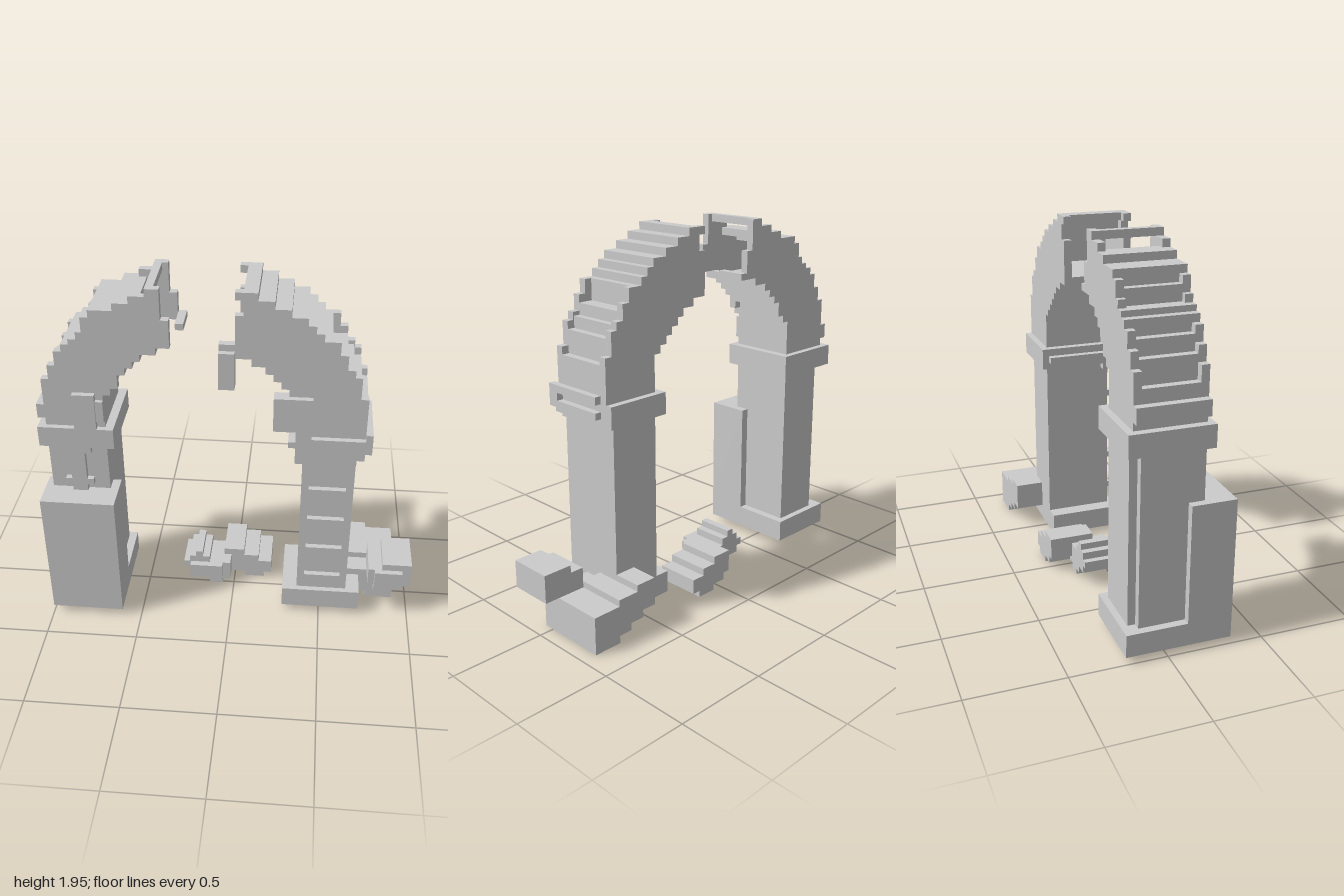
import * as THREE from 'three';

export function createModel() {
  const model = new THREE.Group();
  model.name = 'ruinedArch';
  const stone = new THREE.MeshStandardMaterial({ color: 0xcccccc });
  stone.name = 'stone';

  function group(name) {
    const g = new THREE.Group();
    g.name = name;
    model.add(g);
    return g;
  }
  // Box from its minimum and maximum limits
  function box(parent, name, x0, x1, y0, y1, z0, z1) {
    const m = new THREE.Mesh(new THREE.BoxGeometry(x1 - x0, y1 - y0, z1 - z0), stone);
    m.name = name;
    m.position.set((x0 + x1) / 2, (y0 + y1) / 2, (z0 + z1) / 2);
    parent.add(m);
  }
  // Stepped outline: for each [x, y] go across to x, then up or down to y
  function stair(parent, name, startY, steps, z0, z1) {
    const s = new THREE.Shape();
    let y = startY;
    steps.forEach(([sx, sy], i) => {
      if (i === 0) s.moveTo(sx, y);
      else s.lineTo(sx, y);
      s.lineTo(sx, sy);
      y = sy;
    });
    const geo = new THREE.ExtrudeGeometry(s, { depth: z1 - z0, bevelEnabled: false });
    const m = new THREE.Mesh(geo, stone);
    m.name = name;
    m.position.z = z0;
    parent.add(m);
  }

  // Right-hand pier (-x): pedestal, column and capital
  const pierR = group('rightPier');
  box(pierR, 'base', -1, -0.605, 0.04, 0.16, -0.215, 0.33);
  box(pierR, 'frontSlab', -1, -0.605, 0.16, 0.78, 0.1, 0.33);
  box(pierR, 'column', -0.92, -0.65, 0.16, 1.06, -0.18, 0.18);
  box(pierR, 'columnEdge', -0.96, -0.92, 0.16, 1.06, -0.14, 0.18);
  box(pierR, 'capital', -1, -0.605, 1.055, 1.17, -0.215, 0.21);
  box(pierR, 'crossTop', -0.805, -0.69, 1.17, 1.37, 0.17, 0.21);
  box(pierR, 'crossNeck', -0.88, -0.73, 1.02, 1.055, 0.17, 0.21);
  box(pierR, 'crossStem', -0.845, -0.765, 0.78, 1.02, 0.17, 0.21);
  box(pierR, 'crossFootOuter', -0.88, -0.845, 0.82, 0.855, 0.17, 0.21);
  box(pierR, 'crossFootInner', -0.765, -0.73, 0.82, 0.855, 0.17, 0.21);

  // Right-hand arch half: two stepped walls and a core hollowed at the broken end
  const archR = group('rightArchHalf');
  const outlineR = [[-0.96, 1.44], [-0.92, 1.52], [-0.88, 1.6], [-0.84, 1.64], [-0.8, 1.67],
    [-0.76, 1.71], [-0.73, 1.79], [-0.69, 1.83], [-0.57, 1.87], [-0.49, 1.91], [-0.41, 1.95],
    [-0.34, 1.79], [-0.3, 1.64], [-0.37, 1.6], [-0.45, 1.56], [-0.49, 1.52], [-0.53, 1.48],
    [-0.57, 1.4], [-0.61, 1.36], [-0.65, 1.17]];
  for (const z of [-0.18, 0.14]) stair(archR, 'archWall', 1.17, outlineR, z, z + 0.04);
  stair(archR, 'archCore', 1.17, [[-0.96, 1.36], [-0.92, 1.48], [-0.88, 1.56], [-0.84, 1.64],
    [-0.8, 1.67], [-0.73, 1.75], [-0.69, 1.83], [-0.57, 1.87], [-0.45, 1.83], [-0.57, 1.79],
    [-0.69, 1.62], [-0.45, 1.56], [-0.49, 1.52], [-0.53, 1.48], [-0.57, 1.44], [-0.61, 1.36],
    [-0.65, 1.17]], -0.14, 0.14);
  box(archR, 'crownBar', -0.41, -0.37, 1.91, 1.95, -0.14, 0.14);
  box(archR, 'lowerBar', -0.41, -0.37, 1.6, 1.64, -0.14, 0.14);
  box(archR, 'brokenTip', -0.3, -0.257, 1.64, 1.675, -0.18, -0.02);
  box(archR, 'outerLedge', -1, -0.96, 1.21, 1.29, -0.18, 0.18);
  box(archR, 'innerLedge', -0.69, -0.65, 1.21, 1.33, -0.18, 0.2);

  // Left-hand pier (+x): base, column with rungs, capital
  const pierL = group('leftPier');
  box(pierL, 'base', 0.29, 0.72, 0.04, 0.16, -0.18, 0.21);
  box(pierL, 'column', 0.37, 0.645, 0.16, 1.06, -0.18, 0.18);
  for (let i = 0; i < 4; i++) {
    const y = 0.24 + i * 0.195;
    box(pierL, 'rung', 0.41, 0.605, y, y + 0.035, 0.17, 0.21);
  }
  box(pierL, 'rungFoot', 0.45, 0.565, 0.2, 0.24, 0.17, 0.21);
  box(pierL, 'capital', 0.33, 0.685, 1.055, 1.17, -0.215, 0.21);
  box(pierL, 'capitalLip', 0.37, 0.645, 1.02, 1.06, 0.17, 0.21);
  box(pierL, 'capitalFront', 0.33, 0.41, 1.02, 1.21, 0.14, 0.21);
  box(pierL, 'innerNib', 0.293, 0.33, 1.095, 1.13, -0.18, 0.18);
  box(pierL, 'upperRim', 0.685, 0.72, 1.17, 1.21, -0.14, 0.21);
  box(pierL, 'lowerRim', 0.685, 0.72, 1.095, 1.13, -0.14, 0.21);
  box(pierL, 'rimEnd', 0.685, 0.72, 1.13, 1.17, 0.15, 0.21);
  box(pierL, 'frontBlock', 0.215, 0.41, 1.21, 1.4, 0.14, 0.21);

  // Left-hand arch half, hollowed the same way under a closed crown
  const archL = group('leftArchHalf');
  const outlineL = [[0.02, 1.83], [0.06, 1.91], [0.02, 1.95], [0.13, 1.91], [0.21, 1.87],
    [0.29, 1.83], [0.37, 1.79], [0.41, 1.75], [0.45, 1.71], [0.53, 1.64], [0.57, 1.56],
    [0.61, 1.52], [0.645, 1.4], [0.685, 1.17], [0.37, 1.36], [0.33, 1.4], [0.29, 1.44],
    [0.25, 1.48], [0.21, 1.52], [0.17, 1.56], [0.1, 1.6]];
  for (const z of [-0.18, 0.14]) stair(archL, 'archWall', 1.6, outlineL, z, z + 0.04);
  stair(archL, 'archCore', 1.91, [[0.06, 1.95], [0.13, 1.91], [0.21, 1.87], [0.29, 1.83],
    [0.37, 1.79], [0.41, 1.75], [0.45, 1.71], [0.49, 1.6], [0.57, 1.54], [0.605, 1.48],
    [0.645, 1.36], [0.685, 1.21], [0.645, 1.17], [0.37, 1.36], [0.33, 1.4], [0.29, 1.48],
    [0.21, 1.52], [0.17, 1.56], [0.1, 1.6], [0.02, 1.64], [0.4, 1.71], [0.29, 1.79],
    [0.21, 1.83], [0.1, 1.91]], -0.14, 0.14);
  box(archL, 'hangingBlock', -0.06, 0.02, 1.44, 1.64, 0.14, 0.21);
  box(archL, 'hangingBlockTop', -0.06, 0.02, 1.64, 1.675, 0.14, 0.18);

  // Fallen stones
  const rubble = group('rubble');
  stair(rubble, 'fallenStoneA', 0.12, [[-0.29, 0.16], [-0.257, 0.2], [-0.22, 0.235], [-0.18, 0.2],
    [-0.14, 0.16], [-0.02, 0.04], [-0.065, 0.01], [-0.14, 0.04], [-0.18, 0.08], [-0.257, 0.12]],
  -0.18, 0.02);
  box(rubble, 'stoneAFront', -0.25, -0.065, 0.08, 0.16, 0.02, 0.055);
  stair(rubble, 'fallenStoneB', 0.08, [[-0.06, 0.2], [0.055, 0.16], [0.14, 0.12], [0.215, 0.04],
    [0.17, 0.005], [0.06, 0.04], [-0.02, 0.08]], -0.3, -0.06);
  stair(rubble, 'cornerStone', 0.12, [[0.53, 0.27], [0.645, 0.235], [0.765, 0.2], [0.92, 0],
    [0.765, 0.04], [0.69, 0.08], [0.61, 0.12]], -0.335, -0.05);
  stair(rubble, 'cornerStoneFront', 0.04, [[0.645, 0.2], [0.92, 0], [0.765, 0.04]], -0.05, 0.055);
  stair(rubble, 'leaningStone', 0.2, [[0.765, 0.31], [0.84, 0.35], [1, 0.2]], -0.06, 0.18);
  box(rubble, 'leaningStoneFront', 0.8, 0.95, 0.2, 0.31, 0.18, 0.21);
  box(rubble, 'leaningStoneFoot', 0.8, 0.88, 0.16, 0.2, 0, 0.18);

  return model;
}
